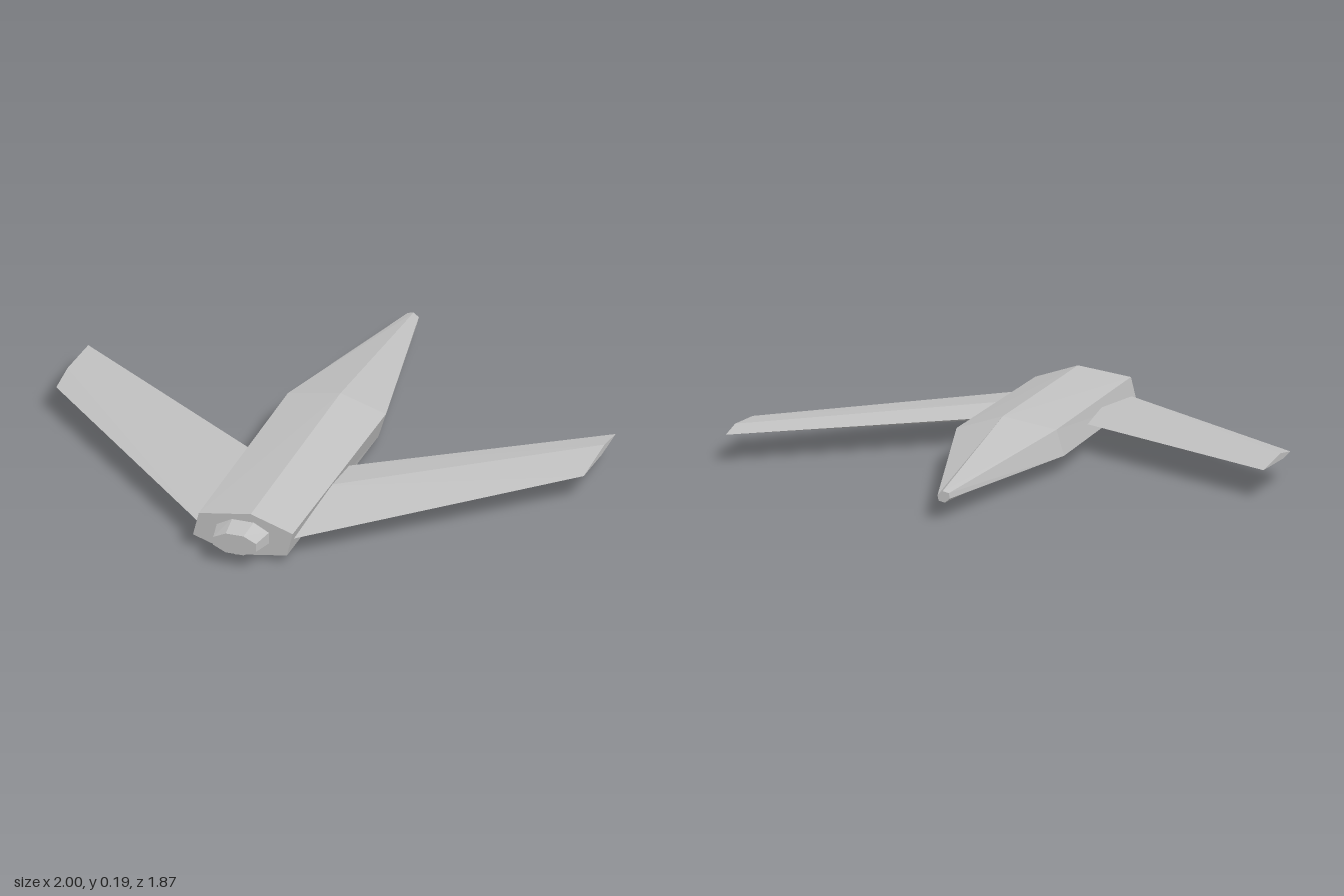
import * as THREE from 'three';

// Skins a series of matching rings; each ring runs counter-clockwise seen from the first end.
function loft(rings) {
  const pos = [];
  const tri = (a, b, c) => pos.push(...a, ...b, ...c);
  const n = rings[0].length;
  for (let i = 0; i < rings.length - 1; i++) {
    for (let j = 0; j < n; j++) {
      const k = (j + 1) % n;
      const [a, b, c, d] = [rings[i][j], rings[i][k], rings[i + 1][j], rings[i + 1][k]];
      tri(a, c, b);
      tri(b, c, d);
    }
  }
  const first = rings[0], last = rings[rings.length - 1];
  for (let j = 1; j < n - 1; j++) {
    tri(first[0], first[j], first[j + 1]);
    tri(last[0], last[j + 1], last[j]);
  }
  const geo = new THREE.BufferGeometry();
  geo.setAttribute('position', new THREE.Float32BufferAttribute(pos, 3));
  geo.computeVertexNormals();
  return geo;
}

// Slightly twisted hexagon, point-symmetric about its centre height.
function hexRing(z, cy, half) {
  const pts = [...half, ...half.map(([x, y]) => [-x, -y])];
  return pts.map(([x, y]) => [x, cy + y, z]);
}

// Flat-topped octagon squashed to an oval.
function octRing(z, cy, rx, ry) {
  return Array.from({ length: 8 }, (_, i) => {
    const a = (i + 0.5) * Math.PI / 4;
    const r = 1 / Math.cos(Math.PI / 8);
    return [Math.cos(a) * r * rx, cy + Math.sin(a) * r * ry, z];
  });
}

export function createModel() {
  const model = new THREE.Group();
  const grey = new THREE.MeshStandardMaterial({ color: 0xc0c0c0 });
  grey.name = 'hull grey';
  const add = (name, geo) => {
    const mesh = new THREE.Mesh(geo, grey);
    mesh.name = name;
    model.add(mesh);
  };

  // Fuselage: tail, widest section, blunt nose tip
  add('fuselage', loft([
    hexRing(0.846, 0.086, [[0.189, 0.034], [0.03, 0.086], [-0.167, 0.056]]),
    hexRing(-0.1, 0.1, [[0.2, 0.038], [0.028, 0.092], [-0.172, 0.056]]),
    hexRing(-0.933, 0.08, [[0.023, 0.005], [0.004, 0.021], [-0.019, 0.015]]),
  ]));

  // Engine nozzle
  add('nozzle', loft([
    octRing(0.933, 0.088, 0.081, 0.038),
    octRing(0.84, 0.088, 0.1, 0.053),
  ]));

  // Wings: diamond section, swept towards the nose
  for (const side of [1, -1]) {
    const ridge = side > 0 ? -0.18 : -0.08;
    const tip = [[1, 0.104, -0.297], [1, 0.119, ridge], [1, 0.1, 0.038], [1, 0.093, ridge + 0.03]];
    const root = [[0.16, 0.1, 0.265], [0.16, 0.118, 0.46], [0.16, 0.081, 0.825], [0.16, 0.053, 0.47]];
    const rings = [tip, root].map((ring) => {
      const pts = ring.map(([x, y, z]) => [x * side, y, z]);
      return side > 0 ? pts : pts.reverse();
    });
    add(side > 0 ? 'leftWing' : 'rightWing', loft(rings));
  }

  return model;
}
